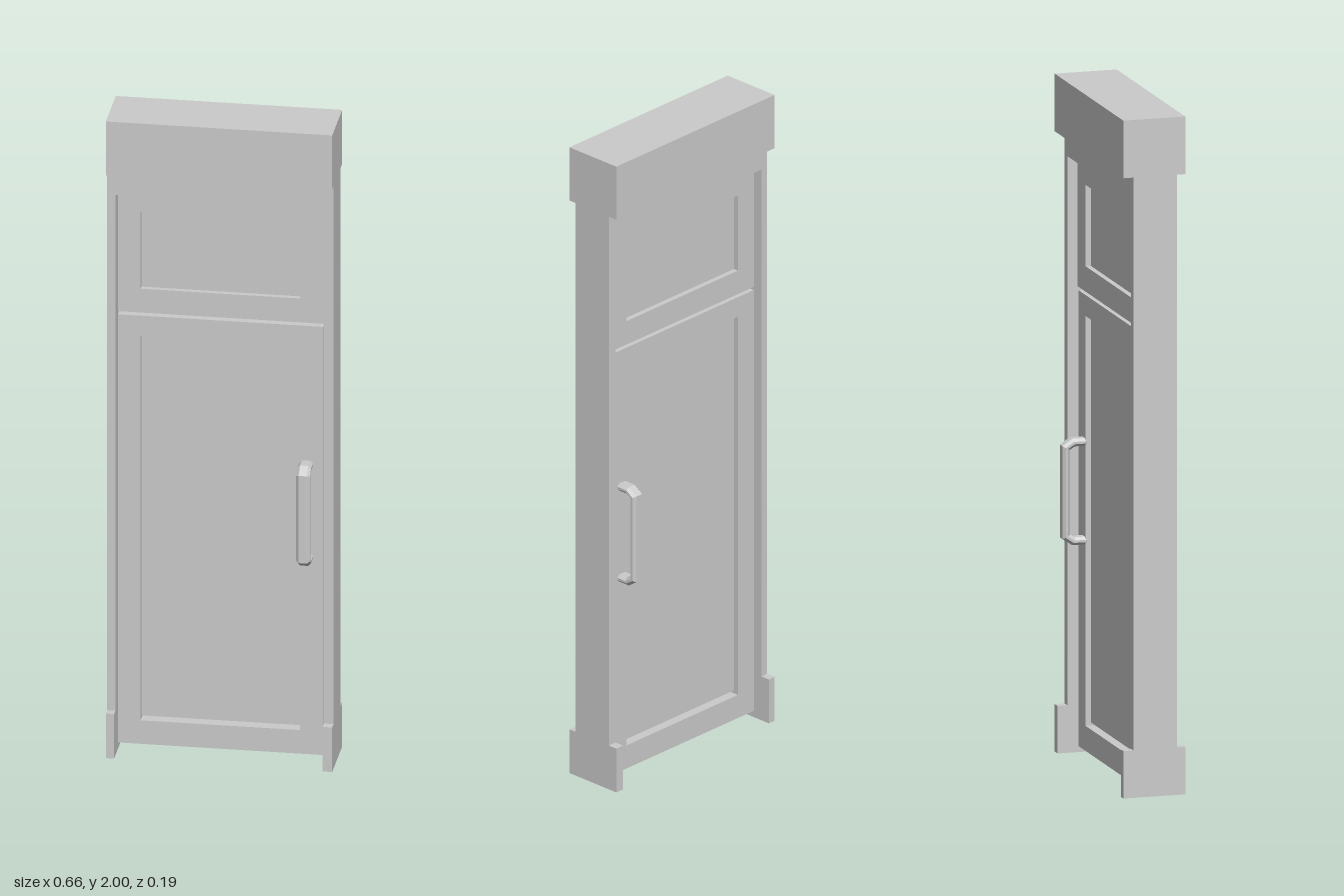
import * as THREE from 'three';

const material = new THREE.MeshStandardMaterial({ color: 0xcccccc, flatShading: true });

function add(parent, name, geometry) {
  const mesh = new THREE.Mesh(geometry, material);
  mesh.name = name;
  parent.add(mesh);
  return mesh;
}

// Box given by its limits on each axis
function block(parent, name, x0, x1, y0, y1, z0, z1) {
  const geo = new THREE.BoxGeometry(x1 - x0, y1 - y0, z1 - z0);
  return add(parent, name, geo.translate((x0 + x1) / 2, (y0 + y1) / 2, (z0 + z1) / 2));
}

const outline = (points) => new THREE.Shape(points.map(([a, b]) => new THREE.Vector2(a, b)));
const rect = (x0, x1, y0, y1) => outline([[x0, y0], [x1, y0], [x1, y1], [x0, y1]]);

// Rectangular frame with a rectangular opening
function frame(parent, name, outer, inner, z0, z1) {
  const shape = rect(...outer);
  shape.holes.push(rect(...inner));
  const geo = new THREE.ExtrudeGeometry(shape, { depth: z1 - z0, bevelEnabled: false });
  add(parent, name, geo.translate(0, 0, z0));
}

// Side profile in (z, y), extruded across x from x0 to x1
function sideProfile(parent, name, points, x0, x1, bevel = 0) {
  const geo = new THREE.ExtrudeGeometry(outline(points), {
    depth: x1 - x0 - 2 * bevel,
    bevelEnabled: bevel > 0,
    bevelSize: bevel,
    bevelThickness: bevel,
    bevelOffset: -bevel,
    bevelSegments: 1,
  });
  geo.rotateY(-Math.PI / 2).translate(x1 - bevel, 0, 0);
  add(parent, name, geo);
}

export function createModel() {
  const model = new THREE.Group();
  model.name = 'door';

  const back = -0.06, front = 0.072;            // casing depth
  const wideBack = -0.09, wideFront = 0.097;    // header and plinth depth
  const doorBack = -0.03, doorFront = 0.025;    // leaf depth

  // Casing: header, top rail and jambs with projecting feet
  block(model, 'header', -0.33, 0.33, 1.83, 2, wideBack, wideFront);
  block(model, 'topRail', -0.306, 0.302, 1.76, 1.83, back, front);
  const jamb = [
    [wideBack, 0], [wideFront, 0], [wideFront, 0.14], [front, 0.14],
    [front, 1.83], [back, 1.83], [back, 0.14], [wideBack, 0.14],
  ];
  sideProfile(model, 'leftJamb', jamb, 0.302, 0.33);
  sideProfile(model, 'rightJamb', jamb, -0.33, -0.306);

  // Transom window above the door
  frame(model, 'transomFrame', [-0.306, 0.302, 1.375, 1.76], [-0.24, 0.225, 1.45, 1.69], doorBack, doorFront);
  block(model, 'transomPane', -0.24, 0.225, 1.45, 1.69, -0.014, 0.01);

  // Door leaf, with a narrow slot beneath its panel
  const leaf = new THREE.Group();
  leaf.name = 'doorLeaf';
  model.add(leaf);
  frame(leaf, 'leafFrame', [-0.306, 0.293, 0.02, 1.365], [-0.24, 0.225, 0.094, 1.303], doorBack, doorFront);
  block(leaf, 'leafPanel', -0.24, 0.225, 0.103, 1.303, -0.014, 0.01);

  // Chamfered pull handles on both faces
  for (const [name, side, face] of [['frontHandle', 1, doorFront], ['backHandle', -1, -doorBack]]) {
    const root = face - 0.01, bend = face + 0.038, inner = face + 0.045, outer = face + 0.068;
    const half = [[root, 0.157], [bend, 0.157], [outer, 0.137]];
    const innerHalf = [[inner, 0.125], [bend - 0.008, 0.134], [root, 0.134]];
    const flip = (points) => points.map(([z, y]) => [z, -y]).reverse();
    const loop = [...half, ...flip(half), ...flip(innerHalf), ...innerHalf];
    sideProfile(leaf, name, loop.map(([z, y]) => [z * side, y + 0.785]), 0.223, 0.263, 0.008);
  }

  return model;
}
